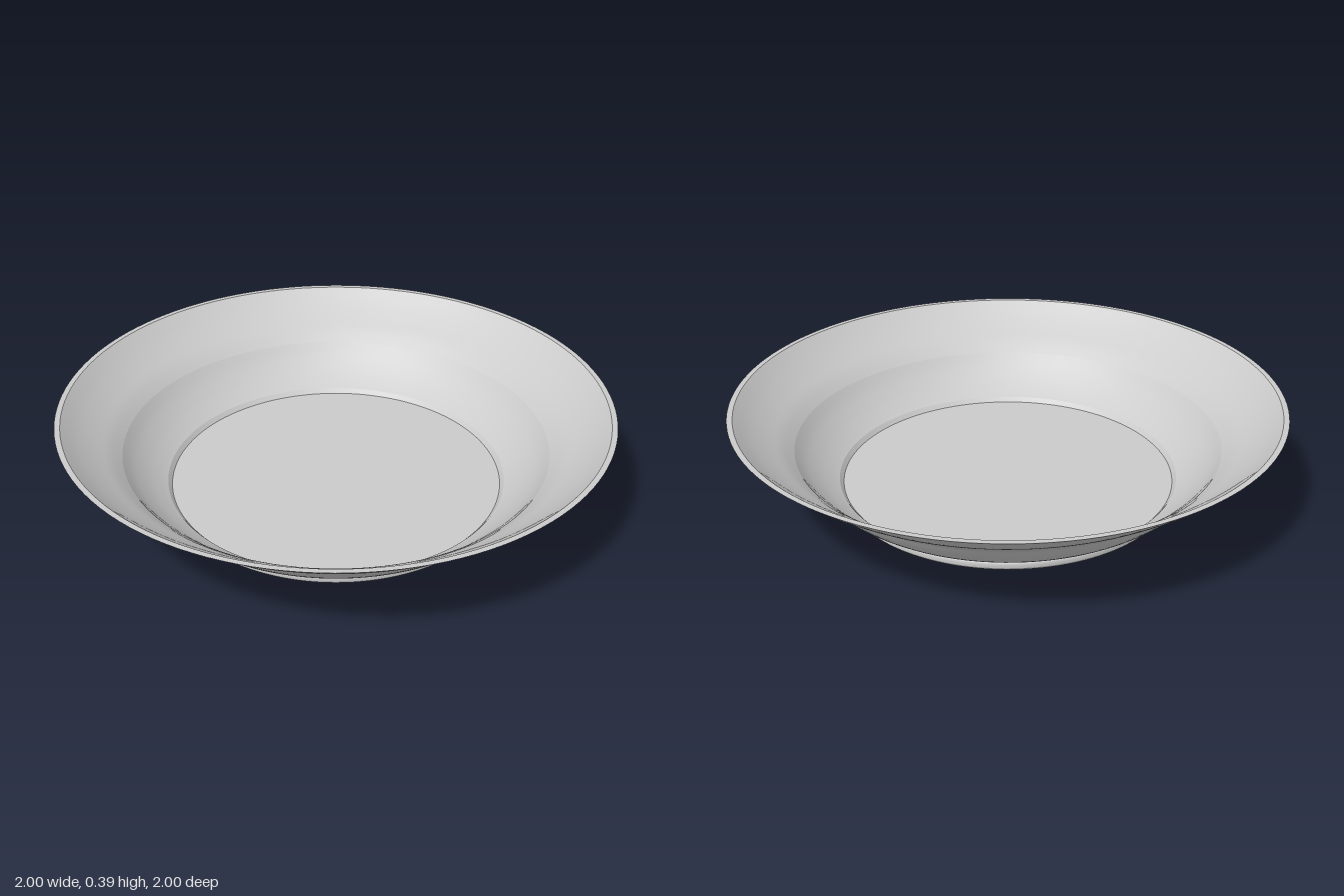
import * as THREE from 'three';

const material = new THREE.MeshStandardMaterial({ color: 0xcccccc });

// Revolves smooth profile bands; edges between the bands stay sharp.
function revolve(name, bands) {
  const group = new THREE.Group();
  group.name = name;
  bands.forEach((band, i) => {
    const points = band.map(([r, y]) => new THREE.Vector2(r, y));
    const profile = points.length > 2 ? new THREE.SplineCurve(points).getPoints(points.length * 3) : points;
    profile.forEach((p) => { p.x = Math.max(p.x, 0); });
    const mesh = new THREE.Mesh(new THREE.LatheGeometry(profile, 128), material);
    mesh.name = `${name}Band${i + 1}`;
    group.add(mesh);
  });
  return group;
}

export function createModel() {
  const plate = new THREE.Group();
  plate.name = 'deepPlate';

  // Base: gently domed underside, rounded foot edge and flat inner floor
  plate.add(revolve('base', [
    [[0, 0], [0.2, 0.003], [0.4, 0.012], [0.52, 0.022], [0.58, 0.033], [0.61, 0.046], [0.62, 0.058]],
    [[0.62, 0.058], [0.62, 0.07], [0.616, 0.078], [0.605, 0.08]],
    [[0.605, 0.08], [0, 0.08]],
  ]));

  // Outer face: curved well, then flared rim
  plate.add(revolve('outerWall', [
    [[0.61, 0.077], [0.65, 0.099], [0.7, 0.134], [0.75, 0.181], [0.785, 0.225]],
    [[0.785, 0.225], [0.83, 0.261], [0.885, 0.298], [0.94, 0.34], [1, 0.39]],
  ]));

  // Narrow flat lip
  plate.add(revolve('lip', [[[1, 0.39], [0.98, 0.39]]]));

  // Inner face, following the outer one down to the floor
  plate.add(revolve('innerWall', [
    [[0.98, 0.39], [0.93, 0.346], [0.875, 0.305], [0.82, 0.268], [0.777, 0.232]],
    [[0.777, 0.232], [0.74, 0.188], [0.69, 0.143], [0.645, 0.111], [0.622, 0.097]],
    [[0.622, 0.097], [0.608, 0.08]],
  ]));

  return plate;
}
